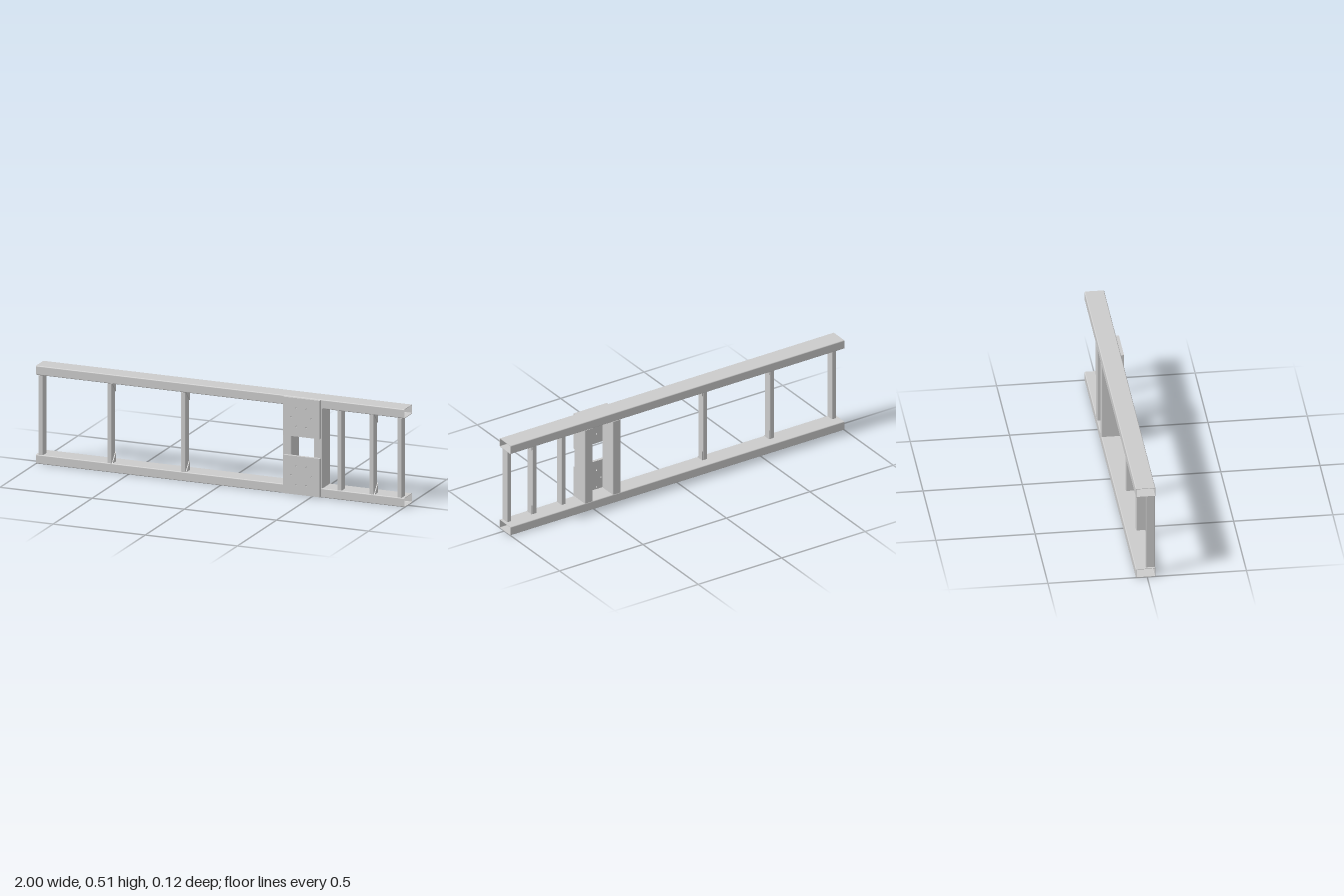
import * as THREE from 'three';

const material = new THREE.MeshStandardMaterial({ color: 0xcccccc });

const HEIGHT = 0.51, RAIL_H = 0.048;
const BACK = -0.0575, FRONT = 0.042;
const DEPTH = FRONT - BACK, MID_Z = (FRONT + BACK) / 2;
const POST_W = 0.025, POST_D = 0.047;

function roundedRect(path, w, h, r) {
  const x = w / 2, y = h / 2;
  path.moveTo(-x + r, -y);
  path.lineTo(x - r, -y);
  path.absarc(x - r, -y + r, r, -Math.PI / 2, 0);
  path.lineTo(x, y - r);
  path.absarc(x - r, y - r, r, 0, Math.PI / 2);
  path.lineTo(-x + r, y);
  path.absarc(-x + r, y - r, r, Math.PI / 2, Math.PI);
  path.lineTo(-x, -y + r);
  path.absarc(-x + r, -y + r, r, Math.PI, Math.PI * 1.5);
  return path;
}

// Hollow rectangular tube, centred, running along z
function tube(w, h, length, radius = 0.005, wall = 0.0025) {
  const shape = roundedRect(new THREE.Shape(), w, h, radius);
  shape.holes.push(roundedRect(new THREE.Path(), w - 2 * wall, h - 2 * wall, radius - wall));
  const geo = new THREE.ExtrudeGeometry(shape, { depth: length, bevelEnabled: false, curveSegments: 4 });
  return geo.translate(0, 0, -length / 2);
}

export function createModel() {
  const model = new THREE.Group();
  model.name = 'ladderFrame';

  const add = (name, geo, x, y, z) => {
    const mesh = new THREE.Mesh(geo, material);
    mesh.name = name;
    mesh.position.set(x, y, z);
    model.add(mesh);
    return mesh;
  };

  // Long open-ended rails
  const railGeo = tube(DEPTH, RAIL_H, 2).rotateY(Math.PI / 2);
  add('bottomRail', railGeo, 0, RAIL_H / 2, MID_Z);
  add('topRail', railGeo, 0, HEIGHT - RAIL_H / 2, MID_Z);

  // Slim uprights, flush with the front of the rails
  const span = HEIGHT - 2 * RAIL_H;
  const postZ = FRONT - POST_D / 2;
  const postGeo = tube(POST_W, POST_D, span, 0.004).rotateX(Math.PI / 2);
  for (const x of [-0.974, -0.601, -0.201, 0.647, 0.821, 0.973]) {
    add('upright', postGeo, x, HEIGHT / 2, postZ);
  }

  // Deep uprights behind the mounting plates
  const deepGeo = tube(RAIL_H, DEPTH, span).rotateX(Math.PI / 2);
  for (const x of [0.363, 0.531]) add('deepUpright', deepGeo, x, HEIGHT / 2, MID_Z);

  // Small triangular gussets on the sides of three uprights
  const tri = new THREE.Shape();
  tri.moveTo(0, 0);
  tri.lineTo(POST_D - 0.004, 0);
  tri.lineTo(POST_D - 0.004, 0.05);
  tri.closePath();
  const gussetGeo = new THREE.ExtrudeGeometry(tri, { depth: 0.005, bevelEnabled: false }).rotateY(Math.PI / 2);
  for (const x of [-0.601, -0.201, 0.821]) {
    const gx = x + POST_W / 2;
    add('bottomGusset', gussetGeo, gx, RAIL_H, FRONT - 0.002);
    // Half turn about x, then shifted so the upright edge stays at the rear
    const top = add('topGusset', gussetGeo, gx, HEIGHT - RAIL_H, FRONT - 0.002);
    top.scale.y = -1;
  }

  // Square mounting plates with a ring of six bolt holes
  const plate = new THREE.Shape();
  plate.moveTo(-0.1, -0.1);
  plate.lineTo(0.1, -0.1);
  plate.lineTo(0.1, 0.1);
  plate.lineTo(-0.1, 0.1);
  plate.closePath();
  for (let i = 0; i < 6; i++) {
    const a = (i * Math.PI) / 3;
    const hole = new THREE.Path();
    hole.absarc(0.055 * Math.cos(a), 0.055 * Math.sin(a), 0.004, 0, Math.PI * 2, true);
    plate.holes.push(hole);
  }
  const plateGeo = new THREE.ExtrudeGeometry(plate, { depth: 0.0155, bevelEnabled: false, curveSegments: 8 });
  add('lowerPlate', plateGeo, 0.447, 0.105, FRONT);
  add('upperPlate', plateGeo, 0.447, HEIGHT - 0.103, FRONT);

  return model;
}
